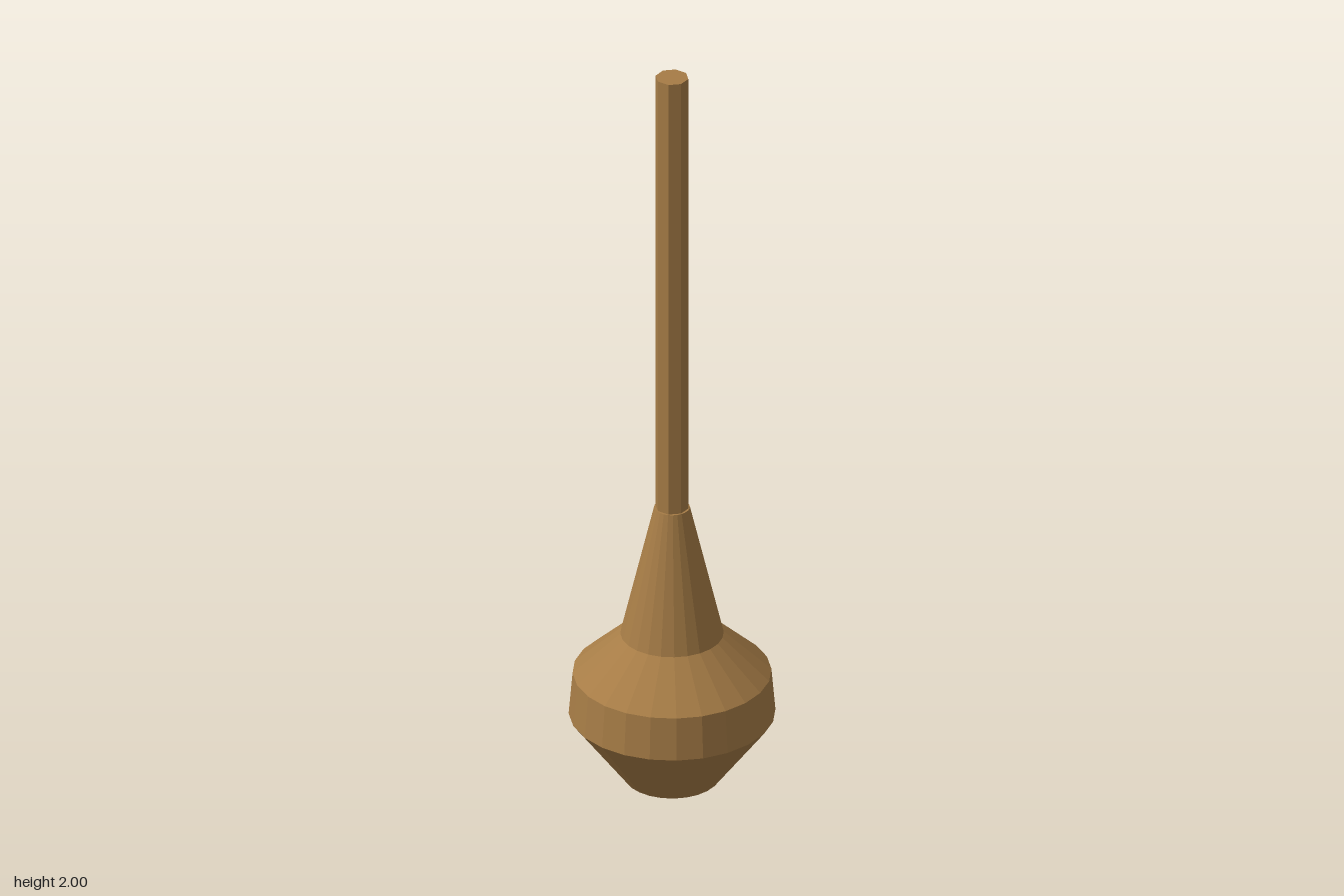
import * as THREE from 'three';

export function createModel() {
  const model = new THREE.Group();
  const wood = new THREE.MeshStandardMaterial({ color: 0xa67c46, flatShading: true });
  wood.name = 'wood';

  // Turned section standing between two heights
  function turned(name, bottomRadius, topRadius, y0, y1, sides, open) {
    const geometry = new THREE.CylinderGeometry(topRadius, bottomRadius, y1 - y0, sides, 1, open);
    const mesh = new THREE.Mesh(geometry, wood);
    mesh.name = name;
    mesh.position.y = (y0 + y1) / 2;
    model.add(mesh);
  }

  // Faceted bulb, from the foot up to the neck
  turned('lowerBulb', 0.12, 0.26, 0, 0.185, 24, true);
  turned('bulbBand', 0.26, 0.25, 0.185, 0.3, 24, true);
  turned('shoulder', 0.25, 0.13, 0.3, 0.41, 24, true);
  turned('neck', 0.13, 0.045, 0.41, 0.77, 24, true);

  // Flat underside and the small ledge around the rod
  const foot = new THREE.Mesh(new THREE.CircleGeometry(0.12, 24), wood);
  foot.name = 'footDisc';
  foot.rotation.x = Math.PI / 2;
  const ledge = new THREE.Mesh(new THREE.CircleGeometry(0.045, 24), wood);
  ledge.name = 'neckLedge';
  ledge.rotation.x = -Math.PI / 2;
  ledge.position.y = 0.77;
  model.add(foot, ledge);

  // Eight-sided rod
  turned('rod', 0.042, 0.042, 0.77, 2, 8, false);

  return model;
}
